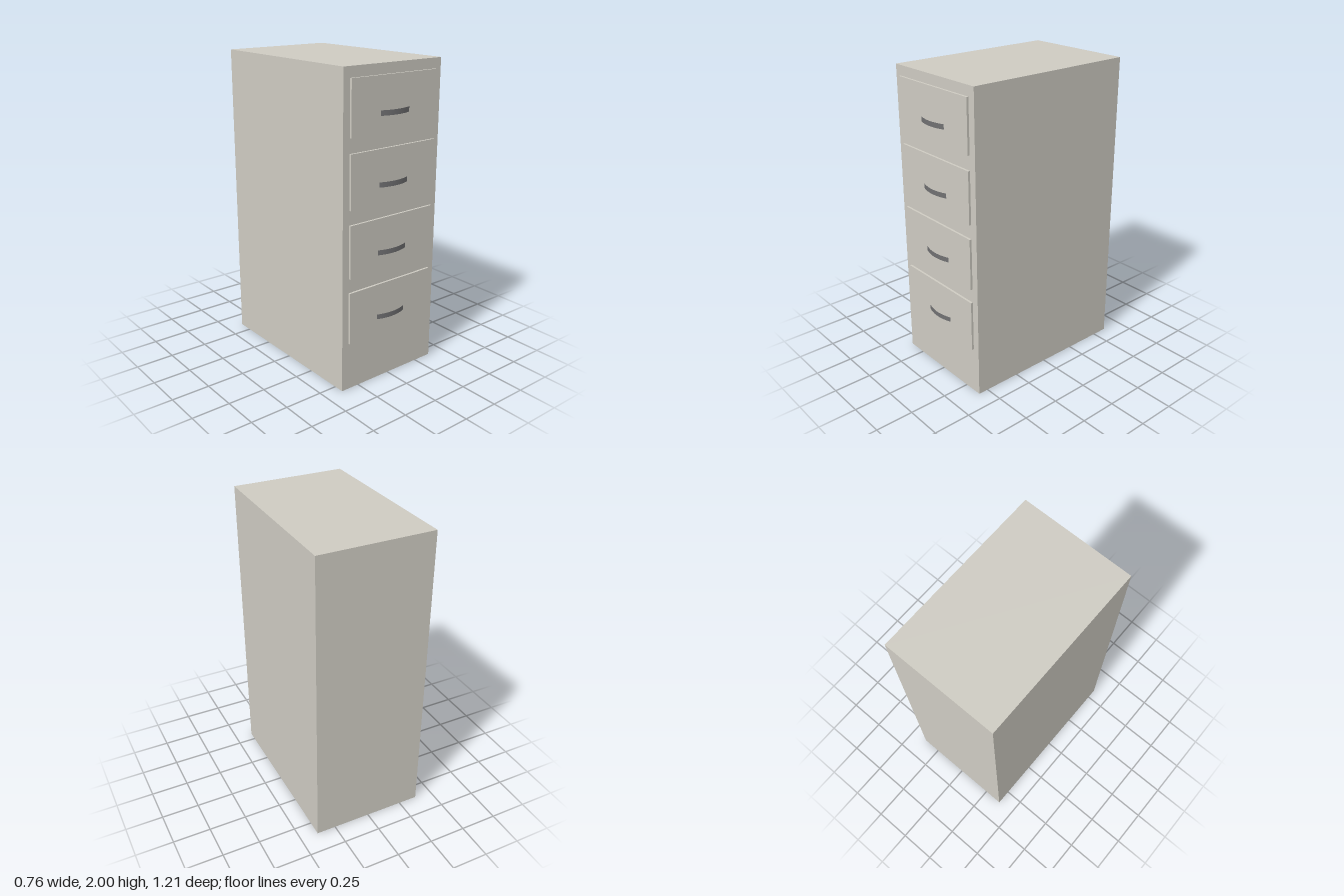
import * as THREE from 'three';

const bodyMaterial = new THREE.MeshStandardMaterial({ color: 0xcecbc2 });
const handleMaterial = new THREE.MeshStandardMaterial({ color: 0x707072, side: THREE.DoubleSide });

const FRONT = 0.568;      // front of the cabinet body
const DRAWER_FRONT = 0.582;

function box(name, w, h, d, x, y, z) {
  const mesh = new THREE.Mesh(new THREE.BoxGeometry(w, h, d), bodyMaterial);
  mesh.position.set(x, y, z);
  mesh.name = name;
  return mesh;
}

// Thin upright strip bowed forward between its two ends
function makeHandle() {
  const half = 0.112, bow = 0.022;
  const geometry = new THREE.PlaneGeometry(half * 2, 0.032, 16, 1);
  const p = geometry.attributes.position;
  for (let i = 0; i < p.count; i++) {
    const t = p.getX(i) / half;
    p.setZ(i, bow * (1 - t * t));
  }
  geometry.computeVertexNormals();
  const mesh = new THREE.Mesh(geometry, handleMaterial);
  mesh.name = 'handle';
  return mesh;
}

export function createModel() {
  const model = new THREE.Group();
  model.name = 'filingCabinet';

  // Cabinet body
  const back = -0.604;
  model.add(box('cabinetBody', 0.758, 2, FRONT - back, 0, 1, (FRONT + back) / 2));

  // Four drawers, each a raised panel with a bowed pull
  for (let i = 0; i < 4; i++) {
    const drawer = new THREE.Group();
    drawer.name = 'drawer';
    drawer.position.y = 0.483 + i * 0.428;
    const depth = DRAWER_FRONT - FRONT;
    drawer.add(box('drawerFront', 0.662, 0.336, depth, 0, 0, FRONT + depth / 2));
    const handle = makeHandle();
    handle.position.set(0, -0.05, DRAWER_FRONT);
    drawer.add(handle);
    model.add(drawer);
  }
  return model;
}
